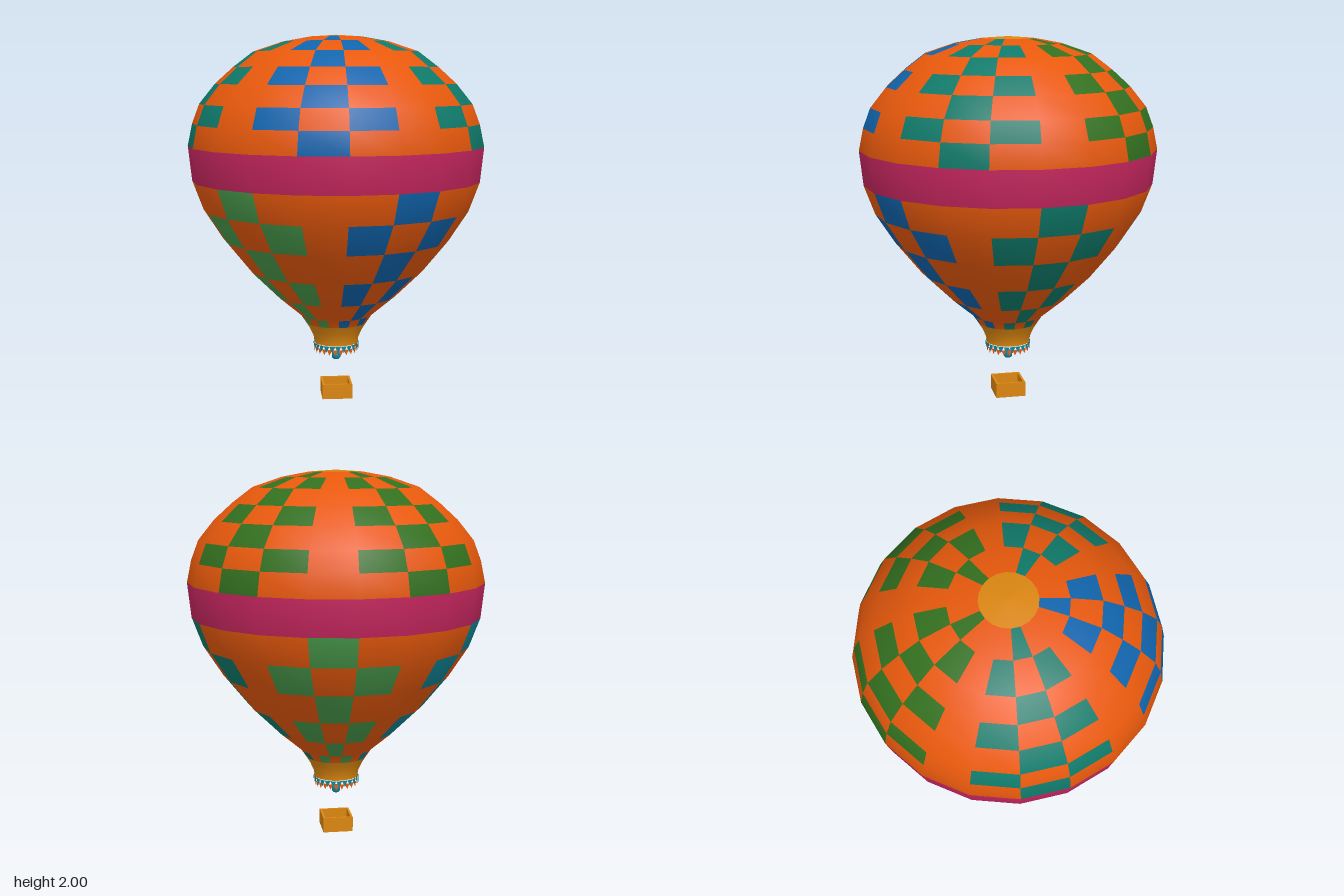
import * as THREE from 'three';

const mat = (name, color, side = THREE.FrontSide) => {
  const m = new THREE.MeshStandardMaterial({ color, side });
  m.name = name;
  return m;
};

export function createModel() {
  const orange = mat('orange', 0xe8590c, THREE.DoubleSide);
  const magenta = mat('magenta', 0xc2255c);
  const blue = mat('blue', 0x1064ac);
  const teal = mat('teal', 0x0f7a6a);
  const green = mat('green', 0x33701f);
  const lightGreen = mat('light green', 0x48984a);
  const cyan = mat('cyan', 0x0f8496, THREE.DoubleSide);
  const amber = mat('amber', 0xdb8610, THREE.DoubleSide);

  const model = new THREE.Group();
  model.name = 'hotAirBalloon';
  const add = (name, geometry, material) => {
    const mesh = new THREE.Mesh(geometry, material);
    mesh.name = name;
    model.add(mesh);
    return mesh;
  };
  const lathe = (pts, sides) =>
    new THREE.LatheGeometry(pts.map(([r, y]) => new THREE.Vector2(r, y)), sides);

  // Envelope profile from mouth to crown, [radius, height]
  const SIDES = 20;
  const profile = [
    [0.122, 0.31], [0.125, 0.34], [0.145, 0.385], [0.17, 0.425],
    [0.2, 0.47], [0.33, 0.58], [0.48, 0.727], [0.62, 0.9], [0.725, 1.063], [0.783, 1.22],
    [0.803, 1.408], [0.778, 1.527], [0.738, 1.633], [0.652, 1.74], [0.555, 1.828],
    [0.447, 1.91], [0.29, 1.963], [0.143, 1.99], [0, 2],
  ];
  const rows = profile.length - 1;
  const SKIRT_TOP = 3, BAND = 9, CROWN = 17;

  // Panel colours: three-wide checker columns, repeated every four sides
  const palette = [orange, magenta, blue, teal, green, lightGreen, cyan, amber];
  const lowerColors = [blue, teal, lightGreen, cyan, lightGreen];
  const upperColors = [blue, teal, green, green, teal];
  const panel = (side, row) => {
    if (row < SKIRT_TOP || row === CROWN) return amber;
    if (row === BAND) return magenta;
    const upper = row > BAND;
    const s = (side + (upper ? 2 : 0)) % SIDES;
    const column = s % 4;
    const fromBand = upper ? row - BAND - 1 : BAND - 1 - row;
    const filled = column < 3 && (column === 1) === (fromBand % 2 === 0);
    return filled ? (upper ? upperColors : lowerColors)[Math.floor(s / 4)] : orange;
  };

  // Regroup the envelope faces by colour
  const envelope = lathe(profile, SIDES);
  const source = envelope.index.array;
  const buckets = palette.map(() => []);
  for (let side = 0; side < SIDES; side++) {
    for (let row = 0; row < rows; row++) {
      const start = (side * rows + row) * 6;
      buckets[palette.indexOf(panel(side, row))].push(...source.slice(start, start + 6));
    }
  }
  envelope.setIndex(buckets.flat());
  let offset = 0;
  buckets.forEach((b, i) => {
    envelope.addGroup(offset, b.length, i);
    offset += b.length;
  });
  add('envelope', envelope, palette);

  // Ring of pointed pennants round the mouth
  const pennants = (name, count, radius, top, bottom, phase, material) => {
    const pos = [];
    const step = (Math.PI * 2) / count;
    const corner = (a, y) => pos.push(Math.sin(a) * radius, y, Math.cos(a) * radius);
    for (let i = 0; i < count; i++) {
      const a = (i + phase) * step;
      corner(a - step / 2, top);
      corner(a, bottom);
      corner(a + step / 2, top);
    }
    const g = new THREE.BufferGeometry();
    g.setAttribute('position', new THREE.Float32BufferAttribute(pos, 3));
    g.computeVertexNormals();
    add(name, g, material);
  };
  pennants('upperPennants', 24, 0.126, 0.308, 0.272, 0, cyan);
  pennants('lowerPennants', 24, 0.122, 0.288, 0.257, 0.5, orange);

  // Burner
  add('burner', lathe([[0, 0.207], [0.016, 0.209], [0.024, 0.218], [0.024, 0.24],
    [0.016, 0.249], [0, 0.251]], 12), cyan);

  // Open basket: four walls and a floor
  const HALF = 0.083, WALL = 0.012, HEIGHT = 0.083;
  const square = (Kind, h) =>
    new Kind([[-h, -h], [h, -h], [h, h], [-h, h]].map(([x, y]) => new THREE.Vector2(x, y)));
  const outline = square(THREE.Shape, HALF);
  outline.holes.push(square(THREE.Path, HALF - WALL));
  const walls = new THREE.ExtrudeGeometry(outline, { depth: HEIGHT, bevelEnabled: false });
  add('basketWalls', walls.rotateX(-Math.PI / 2), amber);
  const floor = new THREE.BoxGeometry((HALF - WALL) * 2, 0.01, (HALF - WALL) * 2);
  add('basketFloor', floor.translate(0, 0.005, 0), amber);

  return model;
}
